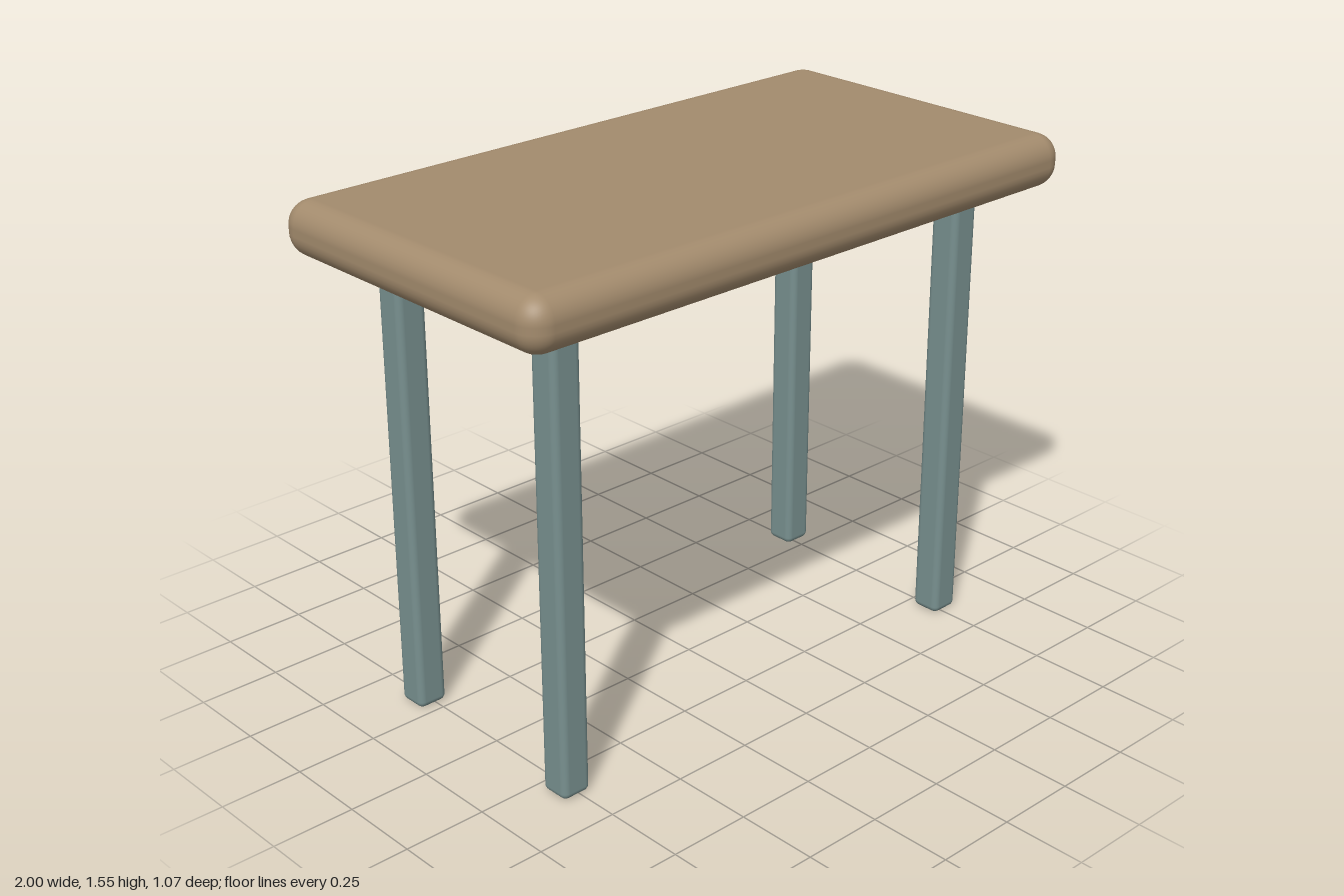
import * as THREE from 'three';
import { RoundedBoxGeometry } from 'three/addons/geometries/RoundedBoxGeometry.js';

export function createModel() {
  const group = new THREE.Group();
  const wood = new THREE.MeshStandardMaterial({ color: 0xa38b6d });
  const metal = new THREE.MeshStandardMaterial({ color: 0x78908f });

  // Thick slab with softly rounded edges
  const top = new THREE.Mesh(new RoundedBoxGeometry(2, 0.16, 1.066, 5, 0.07), wood);
  top.name = 'tableTop';
  top.position.y = 1.47;
  group.add(top);

  // Four square legs, ending just short of the slab
  const legHeight = 1.376;
  const legGeometry = new RoundedBoxGeometry(0.095, legHeight, 0.095, 4, 0.02);
  for (const [side, x] of [['Left', 0.762], ['Right', -0.762]]) {
    for (const [end, z] of [['front', 0.324], ['back', -0.324]]) {
      const leg = new THREE.Mesh(legGeometry, metal);
      leg.name = `${end}${side}Leg`;
      leg.position.set(x, legHeight / 2, z);
      group.add(leg);
    }
  }
  return group;
}
